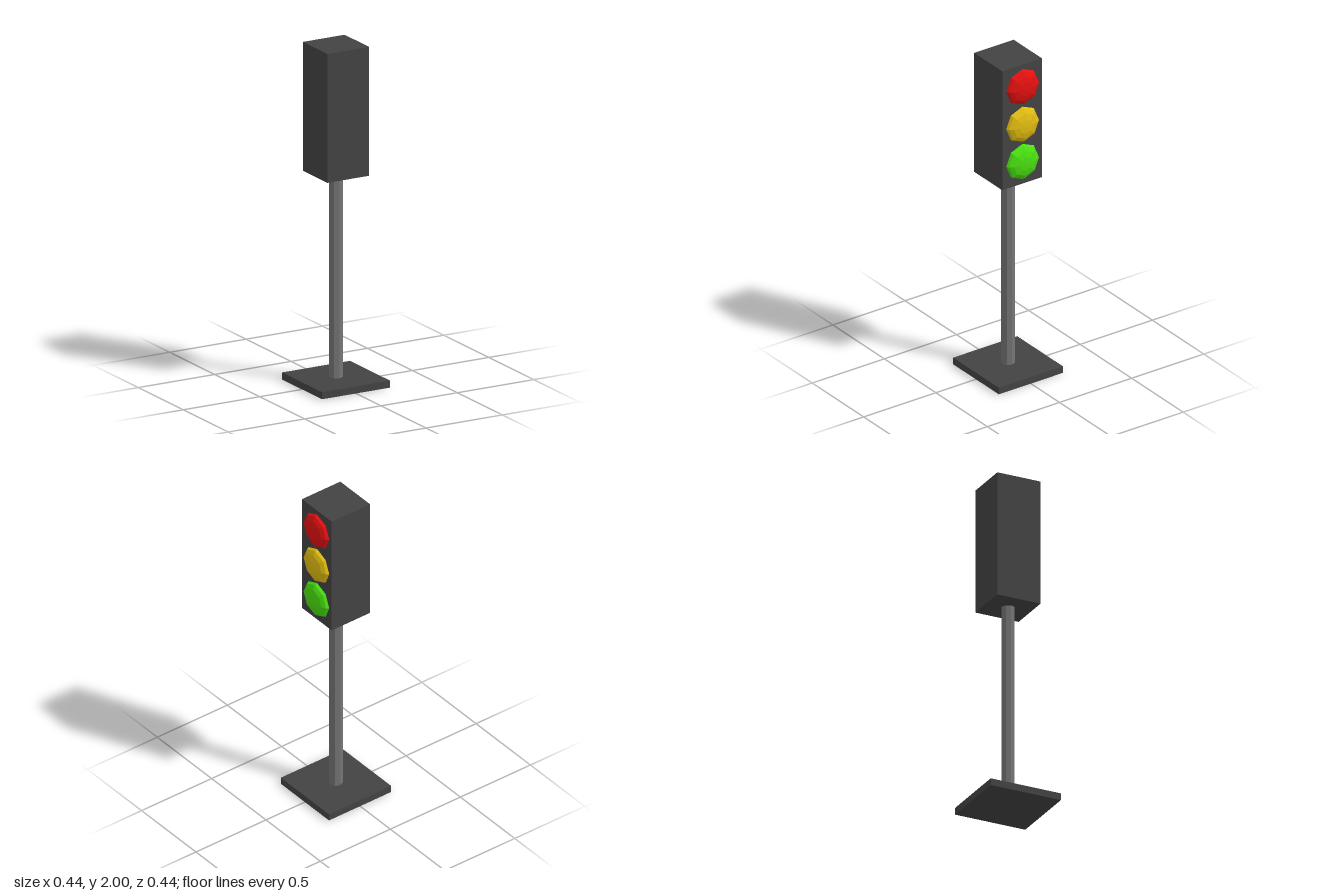
import * as THREE from 'three';

const material = (name, color) => {
  const m = new THREE.MeshStandardMaterial({ color, flatShading: true });
  m.name = name;
  return m;
};

export function createModel() {
  const group = new THREE.Group();
  const dark = material('dark grey', 0x434343);
  const grey = material('pole grey', 0x757575);

  const add = (name, geometry, mat, x, y, z = 0) => {
    const mesh = new THREE.Mesh(geometry, mat);
    mesh.name = name;
    mesh.position.set(x, y, z);
    group.add(mesh);
    return mesh;
  };

  // Base plate, octagonal pole and signal box
  add('base', new THREE.BoxGeometry(0.444, 0.042, 0.444), dark, 0, 0.021);
  add('pole', new THREE.CylinderGeometry(0.04, 0.04, 1.2, 8, 1, true), grey, 0, 0.641);
  add('housing', new THREE.BoxGeometry(0.273, 0.76, 0.273), dark, 0, 1.62);

  // Faceted domed lenses on the +x face
  const lamps = [
    ['redLamp', 'red', 0xe31010, 1.86],
    ['yellowLamp', 'yellow', 0xe0bc10, 1.62],
    ['greenLamp', 'green', 0x48e010, 1.382],
  ];
  for (const [name, colorName, color, y] of lamps) {
    const dome = new THREE.SphereGeometry(0.112, 8, 4, 0, Math.PI * 2, 0, Math.PI / 2);
    dome.scale(1, 0.043 / 0.112, 1);
    dome.rotateZ(-Math.PI / 2);
    add(name, dome, material(colorName, color), 0.136, y, -0.002);
  }
  return group;
}
